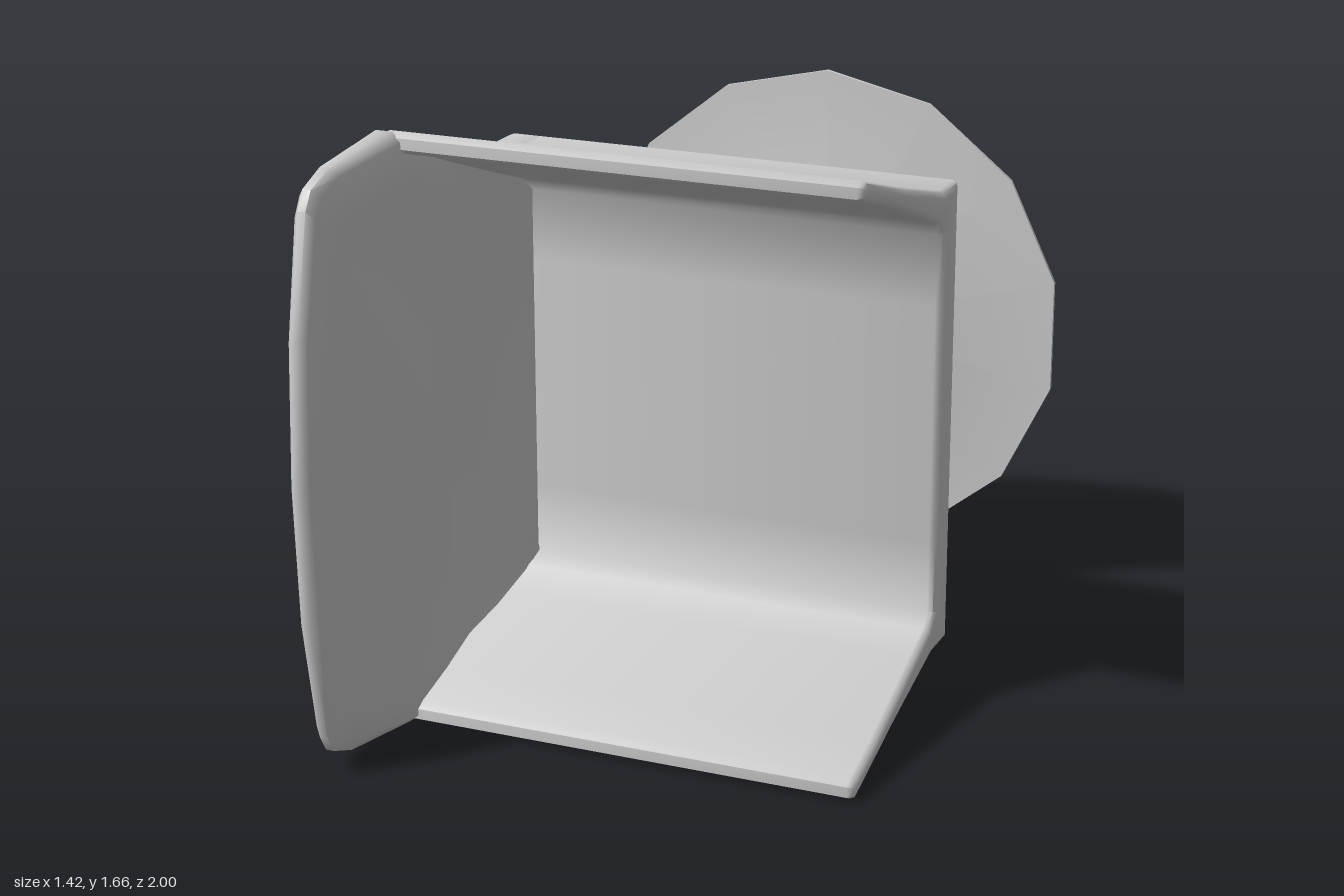
import * as THREE from 'three';
import { toCreasedNormals } from 'three/addons/utils/BufferGeometryUtils.js';

const MID_Y = 0.835;
const material = new THREE.MeshStandardMaterial({ color: 0xcccccc });

function part(name, geometry, crease) {
  const mesh = new THREE.Mesh(toCreasedNormals(geometry, crease), material);
  mesh.name = name;
  return mesh;
}

// Piecewise linear lookup through [input, output] pairs
function lookup(pairs, v) {
  if (v <= pairs[0][0]) return pairs[0][1];
  for (let i = 1; i < pairs.length; i++) {
    const [a, fa] = pairs[i - 1], [b, fb] = pairs[i];
    if (v <= b) return fa + ((fb - fa) * (v - a)) / (b - a);
  }
  return pairs[pairs.length - 1][1];
}

// Adds the upper half of a [z, y] profile by mirroring about the middle height
const mirrorUp = (half) => [
  ...half,
  ...half.filter((p) => p[1] !== MID_Y).reverse().map(([z, y]) => [z, 2 * MID_Y - y]),
];

// Back plate with upper and lower flaps: one C-shaped profile swept along x
function createShell() {
  const half = [
    [-0.22, 0.18], [-0.1, 0.18], [0.21, 0.095], [0.5, 0.005], [0.525, 0.018],
    [0.525, 0.048], [0.5, 0.064], [0.36, 0.105], [0.05, 0.22], [-0.065, 0.262],
    [-0.1, 0.3], [-0.1, 0.5],
  ];
  const shape = new THREE.Shape(mirrorUp(half).map(([z, y]) => new THREE.Vector2(-z, y)));
  const bevel = 0.02;
  const geometry = new THREE.ExtrudeGeometry(shape, {
    depth: 1.33 - 2 * bevel, bevelEnabled: true, bevelSegments: 2,
    bevelSize: bevel, bevelThickness: bevel, bevelOffset: -bevel,
  });
  geometry.translate(0, 0, -0.665 + bevel).rotateY(Math.PI / 2);
  return part('backPlateWithFlaps', geometry, 0.9);
}

// Large cheek panel: rings of one outline, from outer face over the rim to inner face
function createSidePanel() {
  const outline = mirrorUp([
    [-0.22, 0.18], [-0.1, 0.18], [0.21, 0.092], [0.52, 0.003], [0.8, 0.035],
    [0.89, 0.07], [0.92, 0.12], [0.98, 0.44], [1.0, MID_Y],
  ]);
  const outer = [[-0.22, -0.665], [0.1, -0.685], [0.3, -0.7], [0.6, -0.71], [1, -0.7]];
  const inner = [[-0.1, -0.52], [0, -0.575], [0.2, -0.595], [0.52, -0.602], [0.8, -0.638], [1, -0.648]];
  // [scale about the centre, blend from outer to inner face]
  const rings = [
    [0, 0], [0.4, 0], [0.75, 0], [0.97, 0], [1, 0.3],
    [1, 0.7], [0.97, 1], [0.85, 1], [0.6, 1], [0.3, 1], [0, 1],
  ];
  const centreZ = 0.35, n = outline.length, positions = [], index = [];
  for (const [s, t] of rings) {
    for (const [oz, oy] of outline) {
      const z = centreZ + (oz - centreZ) * s;
      const x = THREE.MathUtils.lerp(lookup(outer, z), lookup(inner, z), t);
      positions.push(x, MID_Y + (oy - MID_Y) * s, z);
    }
  }
  for (let i = 0; i < rings.length - 1; i++) {
    for (let j = 0; j < n; j++) {
      const k = (j + 1) % n;
      const a = i * n + j, b = i * n + k, c = a + n, d = b + n;
      if (i < rings.length - 2) index.push(a, c, d);
      if (i > 0) index.push(a, d, b);
    }
  }
  const geometry = new THREE.BufferGeometry();
  geometry.setAttribute('position', new THREE.Float32BufferAttribute(positions, 3));
  geometry.setIndex(index);
  return part('sidePanel', geometry, 0.9);
}

// Fourteen-sided disc flaring into the pole that carries the shell
function createStand() {
  const profile = [
    [0, -1], [0.73, -1], [0.73, -0.988], [0.1, -0.966], [0.076, -0.958],
    [0.068, -0.94], [0.061, -0.2],
  ].map(([r, z]) => new THREE.Vector2(r, z));
  const geometry = new THREE.LatheGeometry(profile, 14);
  geometry.rotateX(Math.PI / 2).translate(0, MID_Y, 0);
  return part('discAndPole', geometry, 0.7);
}

export function createModel() {
  const model = new THREE.Group();
  model.name = 'pushButtonShell';
  model.add(createShell(), createSidePanel(), createStand());
  return model;
}
